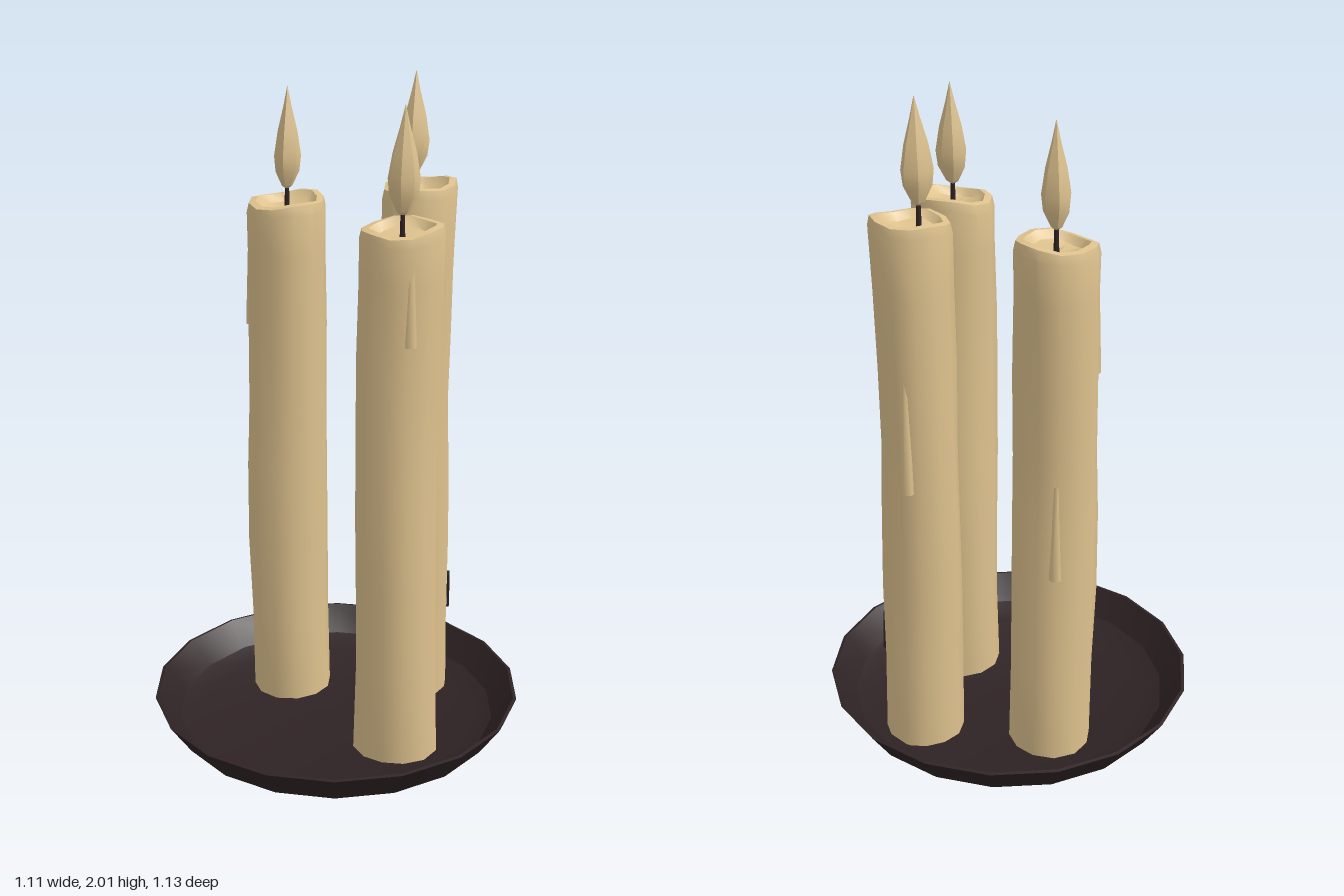
import * as THREE from 'three';
import { toCreasedNormals } from 'three/addons/utils/BufferGeometryUtils.js';

const wax = new THREE.MeshStandardMaterial({ color: 0xdec28e });
wax.name = 'cream wax';
const iron = new THREE.MeshStandardMaterial({ color: 0x2e2224 });
iron.name = 'dark iron';

function add(parent, name, geometry, material) {
  const mesh = new THREE.Mesh(geometry, material);
  mesh.name = name;
  parent.add(mesh);
  return mesh;
}

// Revolve [radius, height] pairs, then move each vertex by a rule
function turned(profile, sides, warp, crease) {
  const geo = new THREE.LatheGeometry(profile.map(p => new THREE.Vector2(...p)), sides);
  const pos = geo.attributes.position;
  const v = new THREE.Vector3();
  for (let i = 0; warp && i < pos.count; i++) {
    v.fromBufferAttribute(pos, i);
    warp(v, Math.atan2(v.x, v.z));
    pos.setXYZ(i, v.x, v.y, v.z);
  }
  return toCreasedNormals(geo, crease);
}

// Unevenly melted shaft with a shallow pool; the outline leans a little with height
function candleGeometry(top, r, seed, lean) {
  const profile = [
    [0, 0.025], [r * 1.03, 0.025], [r, 0.3], [r * 1.01, 0.55], [r * 0.99, 0.8], [r * 0.96, 1.0],
    [r * 0.98, 1.25], [r * 0.97, 1.48], [r * 0.98, top - 0.03], [r * 0.93, top - 0.003],
    [r * 0.76, top], [r * 0.6, top - 0.022], [0, top - 0.035],
  ];
  return turned(profile, 12, (v, a) => {
    const y = v.y;
    const k = 1 + 0.022 * Math.sin(2 * a + 4 * y + seed) + 0.02 * Math.sin(3 * a - 6 * y + 2 * seed);
    v.x = v.x * k + lean * Math.sin(y * 1.9);
    v.z *= k;
    // the lip slopes up to the model's left
    if (y > 1.55) v.y += v.x * 0.09 + 0.006 * Math.sin(3 * a + seed);
  }, 0.65);
}

// Faceted teardrop
function flameGeometry(seed) {
  const profile = [[0, 0], [0.018, 0.012], [0.04, 0.055], [0.045, 0.1], [0.033, 0.17], [0.014, 0.24], [0, 0.3]];
  return turned(profile, 7, (v, a) => {
    const k = 1 + 0.08 * Math.sin(2 * a + seed);
    v.x = v.x * k + 0.018 * v.y;
    v.z *= k * 0.95;
  }, 0.4);
}

function candle({ x, z, top, r, seed, lean, wickX, drips }) {
  const g = new THREE.Group();
  g.name = 'candle';
  g.position.set(x, 0, z);
  add(g, 'shaft', candleGeometry(top, r, seed, lean), wax);

  // Wick and flame
  const wick = add(g, 'wick', new THREE.CylinderGeometry(0.006, 0.008, 0.09, 6), iron);
  wick.position.set(wickX, top + 0.005, 0);
  const flame = add(g, 'flame', flameGeometry(seed), wax);
  flame.position.set(wickX, top + 0.027, 0);

  // Slim runs of wax, mostly sunk into the shaft
  for (const [angle, y, length] of drips) {
    const drip = add(g, 'drip', new THREE.CylinderGeometry(0.01, 0.022, length, 6), wax);
    drip.position.set(Math.sin(angle) * (r - 0.017), y, Math.cos(angle) * (r - 0.017));
  }
  return g;
}

export function createModel() {
  const model = new THREE.Group();
  model.name = 'candleDish';

  // Shallow dish: underside, flared wall, rim, inner wall, floor
  const dish = [
    [0, 0.004], [0.42, 0], [0.5, 0.04], [0.565, 0.135],
    [0.555, 0.137], [0.49, 0.06], [0.42, 0.032], [0, 0.03],
  ];
  add(model, 'dish', turned(dish, 18, null, 0.4), iron);

  const candles = [
    { x: 0.023, z: 0.255, top: 1.63, r: 0.123, seed: 0.6, lean: -0.007, wickX: 0, drips: [[-1.1, 0.85, 0.34], [-0.5, 1.46, 0.28]] },
    { x: 0.023, z: -0.255, top: 1.63, r: 0.123, seed: 2.7, lean: -0.007, wickX: 0, drips: [[2.6, 0.8, 0.3], [-2.2, 1.4, 0.3]] },
    { x: 0.318, z: 0, top: 1.678, r: 0.115, seed: 4.4, lean: -0.008, wickX: -0.025, drips: [[-1.4, 0.9, 0.36], [2.3, 1.1, 0.4]] },
  ];
  const group = candles.map(c => { const g = candle(c); model.add(g); return g; });

  // Small dark nicks on the side candle: angle, height, length, tilt
  for (const [angle, y, length, tilt] of [[-1.0, 0.79, 0.09, 0.1], [0.78, 0.37, 0.12, 0.12]]) {
    const nick = add(group[2], 'nick', new THREE.BoxGeometry(0.026, length, 0.008), iron);
    nick.position.set(Math.sin(angle) * 0.115, y, Math.cos(angle) * 0.115);
    nick.rotation.set(0, angle, tilt, 'YXZ');
  }
  return model;
}
